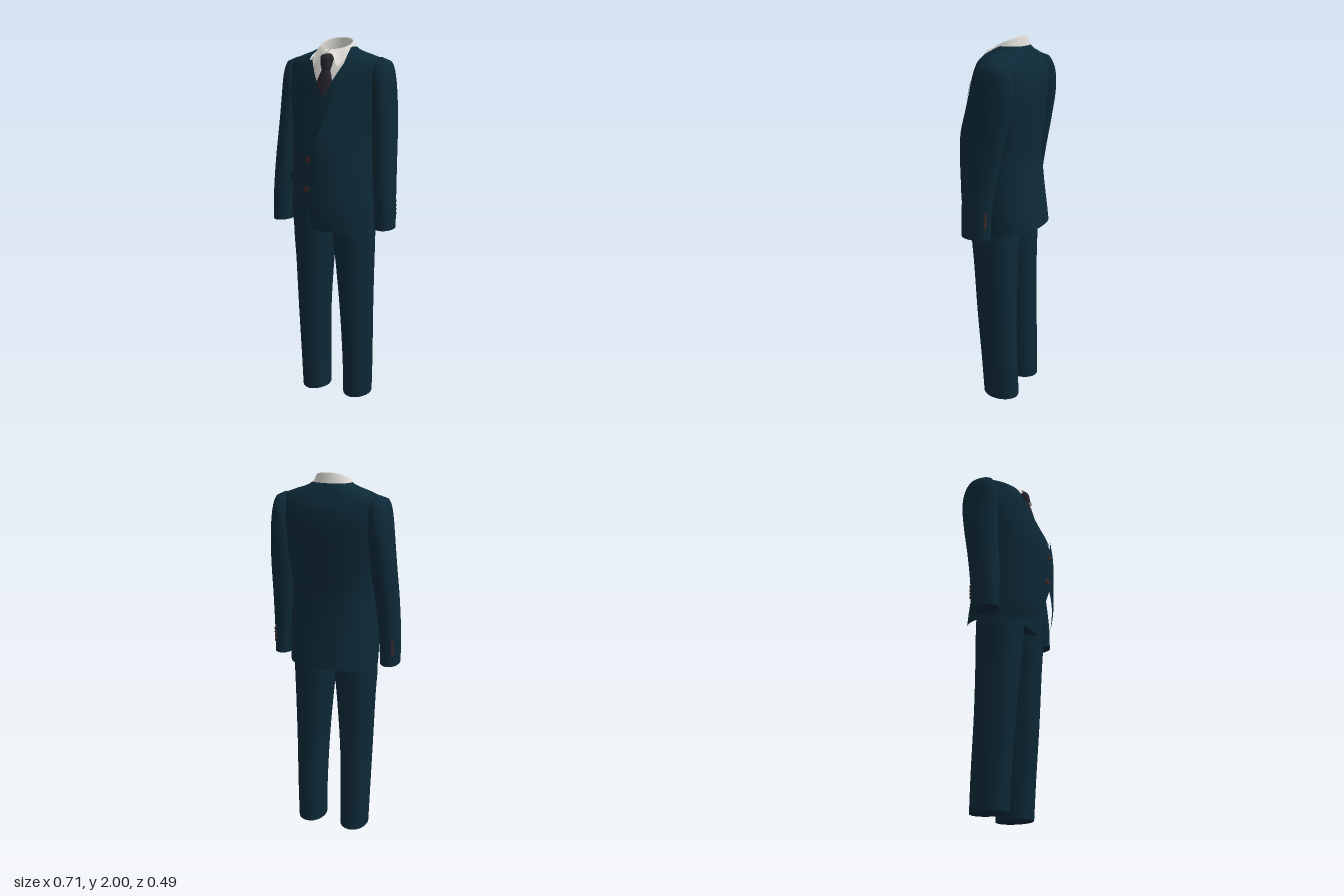
import * as THREE from 'three';

const mat = (name, color, side = THREE.FrontSide) => {
  const m = new THREE.MeshStandardMaterial({ color, side });
  m.name = name;
  return m;
};

// Smooth interpolation of rows [y, a, b, ...] at height y
function sample(rows, y) {
  const n = rows.length;
  y = Math.min(Math.max(y, rows[0][0]), rows[n - 1][0]);
  let i = 0;
  while (i < n - 2 && y > rows[i + 1][0]) i++;
  const A = rows[i], B = rows[i + 1], h = B[0] - A[0], t = (y - A[0]) / h;
  const slope = (k, c) => {
    const p = rows[Math.max(k - 1, 0)], q = rows[Math.min(k + 1, n - 1)];
    return (q[c] - p[c]) / (q[0] - p[0]);
  };
  const t2 = t * t, t3 = t2 * t;
  return A.map((a, c) => c === 0 ? y :
    (2 * t3 - 3 * t2 + 1) * a + (t3 - 2 * t2 + t) * h * slope(i, c) +
    (3 * t2 - 2 * t3) * B[c] + (t3 - t2) * h * slope(i + 1, c));
}

const spow = (v, e) => Math.sign(v) * Math.abs(v) ** e;

// Point on a body of rows [y, centreX, halfWidth, zFront, zMid, zBack]; angle 0 is the front, 90 degrees is +x
function point(body, y, a, off = 0) {
  const [, cx, w, zf, zm, zb] = sample(body.rows, y);
  const s = Math.sin(a), c = Math.cos(a), e = 2 / (c > 0 ? body.pf : body.pb);
  const depth = c > 0 ? zf + off - zm : zm - zb + off;
  const tilt = (body.tilt || 0) * c * Math.max(0, (1.15 - y) / 0.15);
  return [cx + (w + off) * spow(s, e), y - tilt, zm + depth * spow(c, e)];
}

// Angle on the front of a body at which it reaches x
function angleAt(body, y, x) {
  const [, cx, w] = sample(body.rows, y);
  const r = Math.min(Math.abs(x - cx) / w, 1);
  return Math.sign(x - cx) * Math.asin(r ** (body.pf / 2));
}

// Surface through a grid of points f(row, column), optionally closed at the bottom
function grid(f, nu, nv, cap = false) {
  const pos = [], idx = [];
  for (let i = 0; i <= nu; i++) for (let j = 0; j <= nv; j++) pos.push(...f(i / nu, j / nv));
  for (let i = 0; i < nu; i++) for (let j = 0; j < nv; j++) {
    const a = i * (nv + 1) + j, b = a + 1, c = a + nv + 1, d = c + 1;
    idx.push(a, b, d, a, d, c);
  }
  if (cap) {
    const base = pos.length / 3, mid = [0, 0, 0];
    for (let j = 0; j <= nv; j++) {
      const p = f(0, j / nv);
      pos.push(...p);
      if (j < nv) p.forEach((v, k) => { mid[k] += v / nv; });
    }
    pos.push(...mid);
    for (let j = 0; j < nv; j++) idx.push(base + nv + 1, base + j + 1, base + j);
  }
  const g = new THREE.BufferGeometry();
  g.setAttribute('position', new THREE.Float32BufferAttribute(pos, 3));
  g.setIndex(idx);
  g.computeVertexNormals();
  return g;
}

// Part of a body between two heights and two angle rules
function shell(body, y0, y1, from, to, nu, nv, { off = 0, cap = false } = {}) {
  return grid((u, v) => {
    const y = y0 + (y1 - y0) * u, a = from(y), b = to(y);
    return point(body, y, a + (b - a) * v, off);
  }, nu, nv, cap);
}
const ring = (body, y0, y1, nu, nv, opt) => shell(body, y0, y1, () => -Math.PI, () => Math.PI, nu, nv, opt);

const jacketBody = {
  pf: 1.75, pb: 2.3, tilt: 0.02, rows: [
    [0.995, 0, 0.237, 0.2, -0.02, -0.24], [1.1, 0, 0.24, 0.23, -0.02, -0.225],
    [1.25, 0, 0.235, 0.24, -0.02, -0.203], [1.4, 0, 0.225, 0.244, -0.02, -0.19],
    [1.5, 0, 0.23, 0.232, -0.03, -0.195], [1.6, 0, 0.245, 0.2, -0.04, -0.2],
    [1.7, 0, 0.26, 0.168, -0.05, -0.205], [1.78, 0, 0.267, 0.145, -0.06, -0.203],
    [1.84, 0, 0.27, 0.12, -0.06, -0.19], [1.88, 0, 0.26, 0.095, -0.06, -0.172],
    [1.905, 0, 0.205, 0.072, -0.06, -0.16], [1.93, 0, 0.13, 0.045, -0.06, -0.147],
    [1.95, 0, 0.1, 0.015, -0.06, -0.135]]
};
// Front edges: [y, left edge x, right edge x]
const edges = [[0.995, 0.14, -0.14], [1.01, 0.1, -0.11], [1.04, 0.06, -0.085], [1.1, 0.02, -0.05],
  [1.2, -0.03, -0.012], [1.3, -0.05, 0], [1.4, -0.045, 0.005], [1.46, -0.01, -0.002], [1.52, 0.02, -0.02],
  [1.6, 0.045, -0.045], [1.7, 0.068, -0.068], [1.84, 0.095, -0.095], [1.9, 0.1, -0.1], [1.95, 0.085, -0.085]];

const vestBody = {
  pf: 1.9, pb: 2, rows: [
    [1.1, 0, 0.2, 0.15, 0, -0.1], [1.25, 0, 0.2, 0.163, 0, -0.1], [1.5, 0, 0.2, 0.165, 0, -0.1],
    [1.7, 0, 0.21, 0.135, -0.02, -0.1], [1.8, 0, 0.21, 0.11, -0.04, -0.1], [1.88, 0, 0.2, 0.072, -0.05, -0.1]]
};
const vestNeck = [[1.1, 0], [1.69, 0], [1.72, 0.012], [1.8, 0.055], [1.88, 0.095]];

const shirtBody = {
  pf: 2, pb: 2, rows: [[1.6, 0, 0.17, 0.13, -0.03, -0.1], [1.7, 0, 0.18, 0.116, -0.04, -0.1],
    [1.8, 0, 0.18, 0.09, -0.05, -0.1], [1.88, 0, 0.15, 0.06, -0.05, -0.1], [1.93, 0, 0.1, 0.035, -0.05, -0.1]]
};
const hipBody = {
  pf: 2, pb: 2.2, rows: [[0.985, 0, 0.222, 0.122, -0.01, -0.14], [1.1, 0, 0.222, 0.135, -0.01, -0.15],
    [1.3, 0, 0.21, 0.14, -0.01, -0.15]]
};
const tieBody = {
  pf: 2, pb: 2, rows: [[1.695, 0, 0.003, 0.137, 0.132, 0.12], [1.73, 0, 0.025, 0.132, 0.125, 0.11],
    [1.77, 0, 0.042, 0.124, 0.112, 0.1], [1.81, 0, 0.032, 0.115, 0.098, 0.08],
    [1.835, 0, 0.022, 0.11, 0.09, 0.07], [1.845, 0, 0.026, 0.115, 0.09, 0.06],
    [1.89, 0, 0.036, 0.108, 0.075, 0.05], [1.91, 0, 0.03, 0.09, 0.065, 0.04], [1.915, 0, 0.004, 0.07, 0.06, 0.05]]
};
const legBody = s => ({
  pf: 1.8, pb: 2.1, rows: [[0, 0.13, 0.08, 0.05, -0.05, -0.158], [0.2, 0.132, 0.083, 0.063, -0.045, -0.152],
    [0.5, 0.13, 0.091, 0.088, -0.03, -0.141], [0.8, 0.122, 0.106, 0.11, -0.02, -0.141],
    [0.95, 0.117, 0.116, 0.123, -0.01, -0.145], [1.15, 0.112, 0.112, 0.13, -0.01, -0.145]]
    .map(([y, x, ...r]) => [y, s * x, ...r])
});
const sleeveBody = s => ({
  pf: 2.1, pb: 2.1, rows: [[1.01, 0.305, 0.051, 0.08, 0, -0.08], [1.15, 0.3, 0.055, 0.08, 0, -0.085],
    [1.35, 0.288, 0.059, 0.066, -0.02, -0.115], [1.55, 0.272, 0.062, 0.05, -0.06, -0.155],
    [1.7, 0.26, 0.061, 0.042, -0.07, -0.18], [1.8, 0.253, 0.057, 0.035, -0.07, -0.178],
    [1.86, 0.248, 0.05, 0.012, -0.07, -0.155], [1.885, 0.243, 0.035, -0.01, -0.07, -0.13],
    [1.896, 0.235, 0.008, -0.05, -0.07, -0.09]].map(([y, x, ...r]) => [y, s * x, ...r])
});

export function createModel() {
  const group = new THREE.Group();
  group.name = 'suit';
  const cloth = mat('navy cloth', 0x0d2937);
  const linen = mat('white shirt', 0xdedbd6, THREE.DoubleSide);
  const silk = mat('dark tie', 0x28252d);
  const horn = mat('brown button', 0x3d2826);
  const add = (name, geo, m) => {
    const mesh = new THREE.Mesh(geo, m);
    mesh.name = name;
    group.add(mesh);
    return mesh;
  };
  const button = (name, p, dir, r, m = horn) => {
    const b = add(name, new THREE.CylinderGeometry(r, r, 0.008, 14), m);
    b.position.set(...p);
    b.quaternion.setFromUnitVectors(new THREE.Vector3(0, 1, 0), new THREE.Vector3(...dir).normalize());
  };

  // Jacket, open at the front from its left edge round the back to its right edge
  const edgeAngle = (y, k) => angleAt(jacketBody, y, sample(edges, y)[k]);
  add('jacket', grid((u, v) => {
    const y = 0.995 + 0.955 * u, a = edgeAngle(y, 1), b = 2 * Math.PI + edgeAngle(y, 2);
    const overlap = 0.006 * Math.max(0, 1 - v * 6);
    return point(jacketBody, y, a + (b - a) * v, overlap);
  }, 76, 72), cloth);

  // Lapels and pocket flaps
  const patch = (name, y0, y1, xa, xb, off) => add(name, shell(jacketBody, y0, y1,
    y => angleAt(jacketBody, y, xa(y)), y => angleAt(jacketBody, y, xb(y)), 16, 8, { off }), cloth);
  const lapelWidth = y => 0.075 * Math.min(1, (y - 1.46) / 0.26);
  patch('leftLapel', 1.47, 1.78, y => sample(edges, y)[1], y => sample(edges, y)[1] + lapelWidth(y), 0.009);
  patch('rightLapel', 1.47, 1.78, y => sample(edges, y)[2] - lapelWidth(y), y => sample(edges, y)[2], 0.005);
  patch('leftPocketFlap', 1.255, 1.305, () => 0.15, () => 0.222, 0.008);
  patch('rightPocketFlap', 1.255, 1.305, () => -0.222, () => -0.15, 0.008);
  patch('breastPocket', 1.66, 1.685, () => 0.15, () => 0.2, 0.006);

  // Jacket buttons
  for (const [x, y] of [[-0.028, 1.39], [-0.042, 1.235]])
    button('jacketButton', point(jacketBody, y, angleAt(jacketBody, y, x), 0.009), [x * 3, 0, 1], 0.015);

  // Sleeves, cuff buttons and trouser legs
  for (const [s, side] of [[1, 'left'], [-1, 'right']]) {
    const sleeve = sleeveBody(s);
    add(side + 'Sleeve', ring(sleeve, 1.01, 1.896, 44, 32, { cap: true }), cloth);
    for (let i = 0; i < 4; i++)
      button(side + 'CuffButton', point(sleeve, 1.08 + i * 0.022, s * 2.55, 0.001), [s * 0.65, 0, -0.75], 0.009);
    add(side + 'TrouserLeg', ring(legBody(s), 0, 1.15, 24, 36, { cap: true }), cloth);
  }
  add('trouserSeat', ring(hipBody, 0.985, 1.3, 8, 40, { cap: true }), cloth);

  // Waistcoat halves with a V neck
  const neck = y => angleAt(vestBody, y, Math.max(0, sample(vestNeck, y)[1]));
  add('leftVest', shell(vestBody, 1.12, 1.88, neck, () => 1.5, 40, 16), cloth);
  add('rightVest', shell(vestBody, 1.12, 1.88, () => -1.5, y => -neck(y), 40, 16), cloth);
  for (let i = 0; i < 5; i++)
    button('vestButton', point(vestBody, 1.4 + i * 0.062, 0, 0.001), [0, 0, 1], 0.008, cloth);

  // Shirt front
  add('shirtFront', shell(shirtBody, 1.6, 1.93, () => -1.4, () => 1.4, 14, 24), linen);

  // Folded collar: stand inside, fold on top, wings outside
  add('collar', grid((u, v) => {
    const a = 0.04 + (2 * Math.PI - 0.08) * v, s = Math.sin(a), c = Math.cos(a);
    const front = Math.min(a, 2 * Math.PI - a);
    const wing = Math.exp(-(((front - 0.68) / 0.3) ** 2)) * 0.07;
    const top = 1.968 - 0.032 * c;
    const inner = [0.086 * s, 1.9, -0.045 + 0.075 * c];
    const foldIn = [0.083 * s, top - 0.004, -0.045 + 0.074 * c];
    const foldOut = [0.087 * s, top, -0.045 + 0.079 * c];
    const outer = [0.11 * s, 1.93 - 0.008 * c - wing, -0.045 + (c > 0 ? 0.125 : 0.092) * c + wing * 0.65];
    const path = [inner, foldIn, foldOut, outer];
    const k = Math.min(Math.floor(u * 3), 2), t = u * 3 - k;
    return path[k].map((p, i) => p + (path[k + 1][i] - p) * t);
  }, 12, 72), linen);

  // Tie with knot and blade
  add('tie', ring(tieBody, 1.695, 1.915, 40, 24), silk);

  return group;
}
